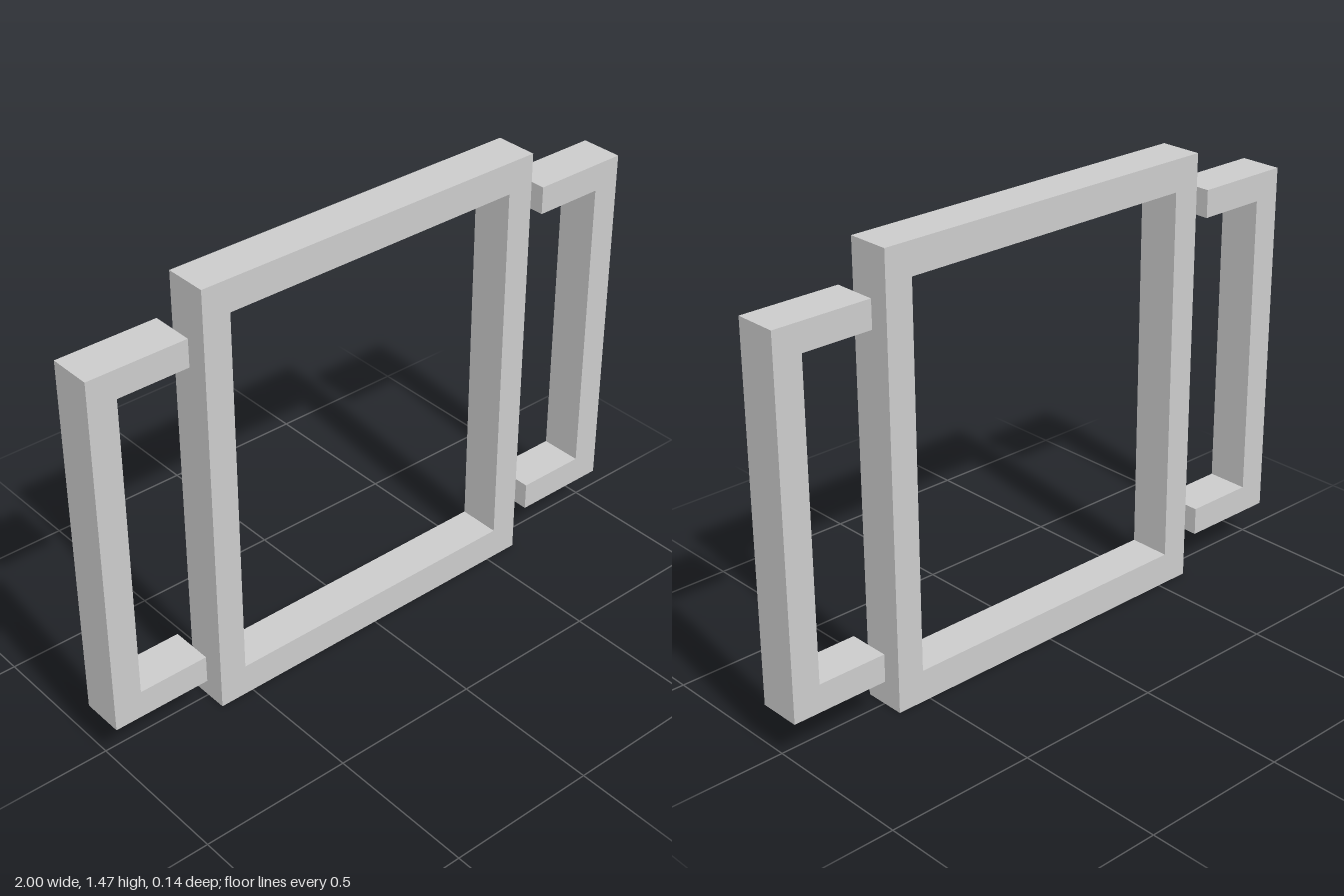
import * as THREE from 'three';

const DEPTH = 0.142;

const points = (list) => list.map(([x, y]) => new THREE.Vector2(x, y));

const rectangle = (x, y0, y1) => points([[-x, y0], [x, y0], [x, y1], [-x, y1]]);

// Extrudes a flat outline, centred on z = 0
function slab(name, shape, material) {
  const geometry = new THREE.ExtrudeGeometry(shape, { depth: DEPTH, bevelEnabled: false });
  geometry.translate(0, 0, -DEPTH / 2);
  const mesh = new THREE.Mesh(geometry, material);
  mesh.name = name;
  return mesh;
}

export function createModel() {
  const group = new THREE.Group();
  group.name = 'framedPanel';
  const material = new THREE.MeshStandardMaterial({ color: 0xcccccc, flatShading: true });

  // Central frame with a rectangular opening
  const frame = new THREE.Shape(rectangle(0.618, 0, 1.467));
  frame.holes.push(new THREE.Path(rectangle(0.525, 0.107, 1.362)));
  group.add(slab('centralFrame', frame, material));

  // Mirrored side brackets, open towards the frame
  for (const [name, side] of [['leftBracket', 1], ['rightBracket', -1]]) {
    const outline = [
      [0.669, 0.132], [1, 0.132], [1, 1.337], [0.669, 1.337],
      [0.669, 1.246], [0.906, 1.246], [0.906, 0.225], [0.669, 0.225],
    ].map(([x, y]) => [x * side, y]);
    group.add(slab(name, new THREE.Shape(points(outline)), material));
  }

  return group;
}
